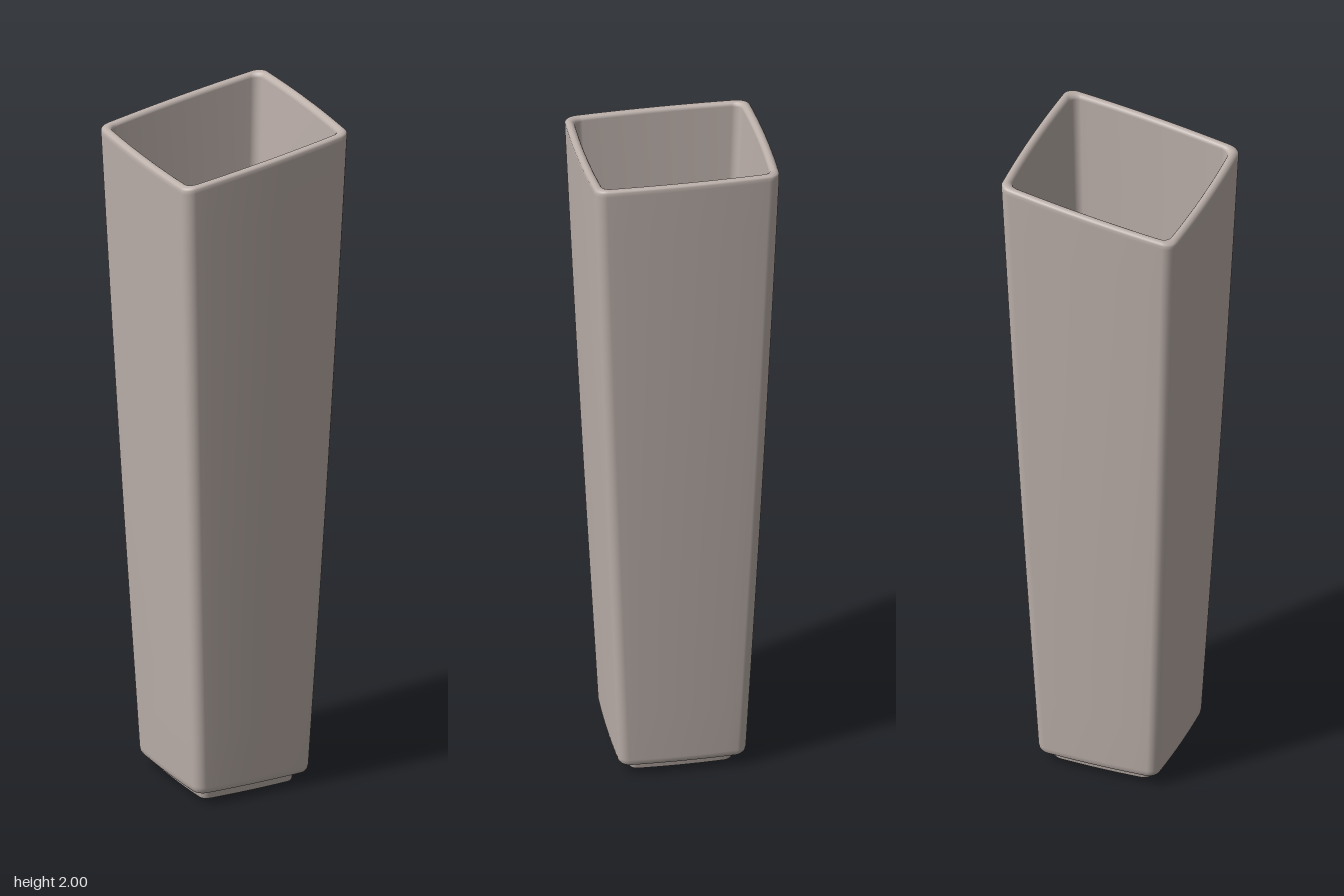
import * as THREE from 'three';

const ARC = 6, SIDE = 10, BOW = 0.03;

// Rounded square ring with slightly bowed sides; h is the half width at mid-side, r the corner radius
function ring(h, r) {
  const pts = [], c = h - r;
  for (let k = 0; k < 4; k++) {
    const a0 = k * Math.PI / 2, cos = Math.round(Math.cos(a0)), sin = Math.round(Math.sin(a0));
    const local = [];
    for (let i = 0; i < SIDE; i++) local.push([h, -c + 2 * c * i / SIDE]);
    for (let i = 0; i < ARC; i++) {
      const a = i / ARC * Math.PI / 2;
      local.push([c + r * Math.cos(a), c + r * Math.sin(a)]);
    }
    for (const [u, v] of local) pts.push([u * cos - v * sin, u * sin + v * cos]);
  }
  const bow = (p, q) => p * (1 - BOW * (h ? (q / h) ** 2 : 0));
  return pts.map(([x, z]) => [bow(x, z), bow(z, x)]);
}

// Skin a list of [half width, height, corner radius] rings, slanting the upper part toward +x
function loft(profile) {
  const pos = [], idx = [], n = 4 * (ARC + SIDE);
  for (const [h, y, r] of profile) {
    const w = THREE.MathUtils.clamp((y - 0.2) / 1.8, 0, 1);
    for (const [x, z] of ring(h, r)) pos.push(x, y + w * (x * 0.139 - 0.0375), z);
  }
  for (let i = 0; i < profile.length - 1; i++) {
    for (let j = 0; j < n; j++) {
      const a = i * n + j, b = i * n + (j + 1) % n, c = a + n, d = b + n;
      idx.push(a, c, b, b, c, d);
    }
  }
  const g = new THREE.BufferGeometry();
  g.setAttribute('position', new THREE.Float32BufferAttribute(pos, 3));
  g.setIndex(idx);
  g.computeVertexNormals();
  return g;
}

export function createModel() {
  const ceramic = new THREE.MeshStandardMaterial({ color: 0xbcb0aa });
  const group = new THREE.Group();
  group.name = 'vase';
  const add = (name, profile) => {
    const mesh = new THREE.Mesh(loft(profile), ceramic);
    mesh.name = name;
    group.add(mesh);
  };

  // Foot ring with a recessed underside
  add('foot', [
    [0, 0.025, 0], [0.115, 0.025, 0.012], [0.12, 0.023, 0.013], [0.122, 0.018, 0.014],
    [0.125, 0.005, 0.015], [0.13, 0, 0.016], [0.142, 0, 0.018],
    [0.147, 0.002, 0.02], [0.149, 0.006, 0.02], [0.152, 0.03, 0.022], [0.154, 0.036, 0.022],
  ]);

  // Tapered outer wall
  const outer = [[0.145, 0.033, 0.02], [0.172, 0.033, 0.025], [0.18, 0.036, 0.027], [0.184, 0.043, 0.028], [0.186, 0.055, 0.028]];
  for (let i = 1; i <= 12; i++) {
    const t = i / 12;
    outer.push([0.186 + 0.083 * t + 0.003 * Math.sin(Math.PI * t), 0.055 + 1.925 * t, 0.028 + 0.004 * t]);
  }
  // Rounded lip
  const lip = [];
  for (let i = 1; i <= 8; i++) {
    const a = i / 8 * Math.PI;
    lip.push([0.2565 + 0.0135 * Math.cos(a), 1.986 + 0.0135 * Math.sin(a), 0.032 - 0.008 * i / 8]);
  }
  // Inner wall and floor
  const inner = [];
  for (let i = 1; i <= 8; i++) {
    const t = i / 8;
    inner.push([0.243 - 0.079 * t, 1.98 - 1.88 * t, 0.024 - 0.004 * t]);
  }
  inner.push([0.162, 0.085, 0.02], [0.156, 0.078, 0.018], [0.145, 0.075, 0.016], [0, 0.075, 0]);
  add('body', [...outer, ...lip, ...inner]);

  return group;
}
